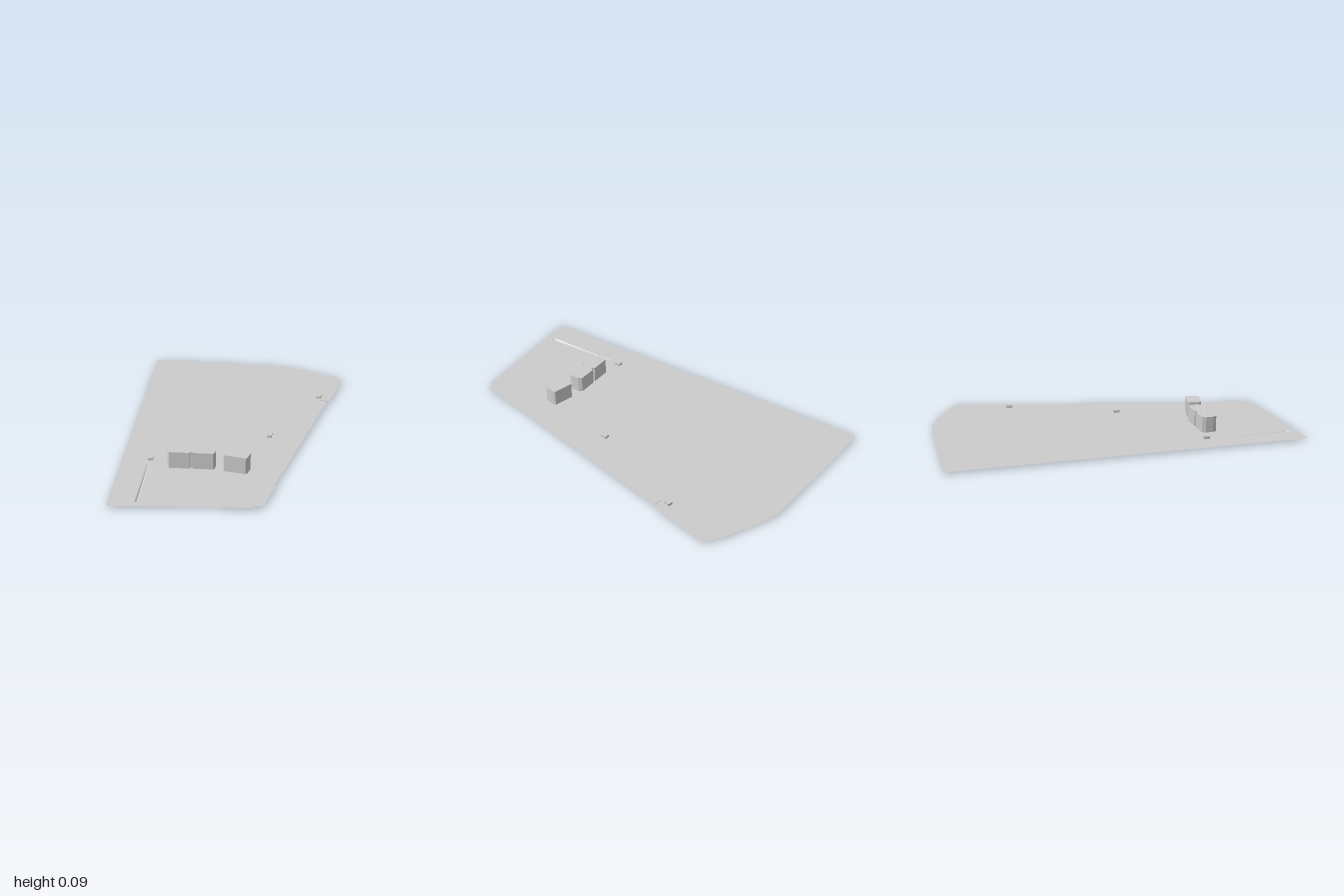
import * as THREE from 'three';

const PLATE_Y = 0.01;
const material = new THREE.MeshStandardMaterial({ color: 0xcccccc, side: THREE.DoubleSide });

// Plan points are [x, z]; shapes are laid flat so that z = -shape.y
const toShape = (pts, Type = THREE.Shape) => new Type(pts.map(([x, z]) => new THREE.Vector2(x, -z)));

function addMesh(group, geometry, name) {
  const mesh = new THREE.Mesh(geometry, material);
  mesh.name = name;
  group.add(mesh);
  return mesh;
}

// Upright prism from a plan outline, turned about its own centre
function addPrism(group, name, outline, [x, z], y0, y1, turn = 0) {
  const geometry = new THREE.ExtrudeGeometry(toShape(outline), { depth: y1 - y0, bevelEnabled: false });
  geometry.rotateX(-Math.PI / 2);
  const mesh = addMesh(group, geometry, name);
  mesh.position.set(x, y0, z);
  mesh.rotation.y = turn;
}

const rect = (w, d) => [[-w / 2, -d / 2], [w / 2, -d / 2], [w / 2, d / 2], [-w / 2, d / 2]];

// Rectangle with chamfered ends and an optional small notch in both long sides
function blockOutline(w, d, c, notch = 0) {
  const x = w / 2, z = d / 2, n = 0.007;
  const half = [[-x, z - c * 2], [-x, -z + c * 2], [-x + c, -z]];
  if (notch) half.push([-n, -z], [-n, -z + notch], [n, -z + notch], [n, -z]);
  half.push([x - c, -z]);
  return [...half, ...half.map(([a, b]) => [-a, -b])];
}

export function createModel() {
  const group = new THREE.Group();

  // Deck outline: straight tapering sides, a bowed back edge and two small nicks
  const bow = new THREE.SplineCurve([
    [0.12, -0.995], [0.18, -1], [0.26, -0.99], [0.4, -0.96], [0.5, -0.93], [0.57, -0.9],
  ].map(([x, z]) => new THREE.Vector2(x, z))).getPoints(20).map((p) => [p.x, Math.max(p.y, -1)]);
  const deck = toShape([
    [-0.12, 1], [-0.57, -0.845], [-0.57, -0.862], [-0.54, -0.873], [-0.25, -0.93], ...bow,
    [0.57, -0.56], [0.5, -0.56], [0.56, -0.548], [0.562, 0.56], [0.57, 0.56],
    [0.57, 0.77], [0.53, 0.783], [0.545, 0.797],
  ]);

  // Groove: an open V-shaped channel sunk below the deck
  const start = new THREE.Vector2(-0.098, 0.515), end = new THREE.Vector2(0, 0.92);
  const side = end.clone().sub(start).normalize();
  side.set(side.y, -side.x).multiplyScalar(0.008);
  deck.holes.push(toShape([
    [start.x - side.x, start.y - side.y], [start.x + side.x, start.y + side.y],
    [end.x + side.x, end.y + side.y], [end.x - side.x, end.y - side.y],
  ], THREE.Path));
  const positions = [], index = [];
  [[0, 0], [0.02, 0.003], [0.98, 0.007], [1, 0]].forEach(([t, depth], i) => {
    const p = start.clone().lerp(end, t);
    for (const s of [-1, 0, 1]) {
      positions.push(p.x + s * side.x, PLATE_Y - (s ? 0 : depth), p.y + s * side.y);
    }
    if (i) {
      for (const k of [0, 1]) {
        const a = (i - 1) * 3 + k, b = a + 3;
        index.push(a, b, a + 1, a + 1, b, b + 1);
      }
    }
  });
  const channel = new THREE.BufferGeometry();
  channel.setAttribute('position', new THREE.Float32BufferAttribute(positions, 3));
  channel.setIndex(index);
  const groove = channel.toNonIndexed();
  groove.computeVertexNormals();
  addMesh(group, groove, 'groove');

  const deckGeometry = new THREE.ShapeGeometry(deck);
  deckGeometry.rotateX(-Math.PI / 2);
  addMesh(group, deckGeometry, 'deck').position.y = PLATE_Y;

  // Large blocks pass through the deck
  addPrism(group, 'longBlock', blockOutline(0.237, 0.08, 0.01, 0.013), [0.115, 0.465], 0, 0.095, 0.24);
  addPrism(group, 'shortBlock', blockOutline(0.122, 0.077, 0.006), [0.341, 0.438], 0, 0.095);

  // Small blocks on top
  for (const [x, z, turn] of [[0.502, -0.595, 0], [0.385, 0.01, 0.17], [-0.103, 0.465, 0.24]]) {
    addPrism(group, 'smallBlock', rect(0.025, 0.033), [x, z], PLATE_Y, 0.024, turn);
  }
  return group;
}
